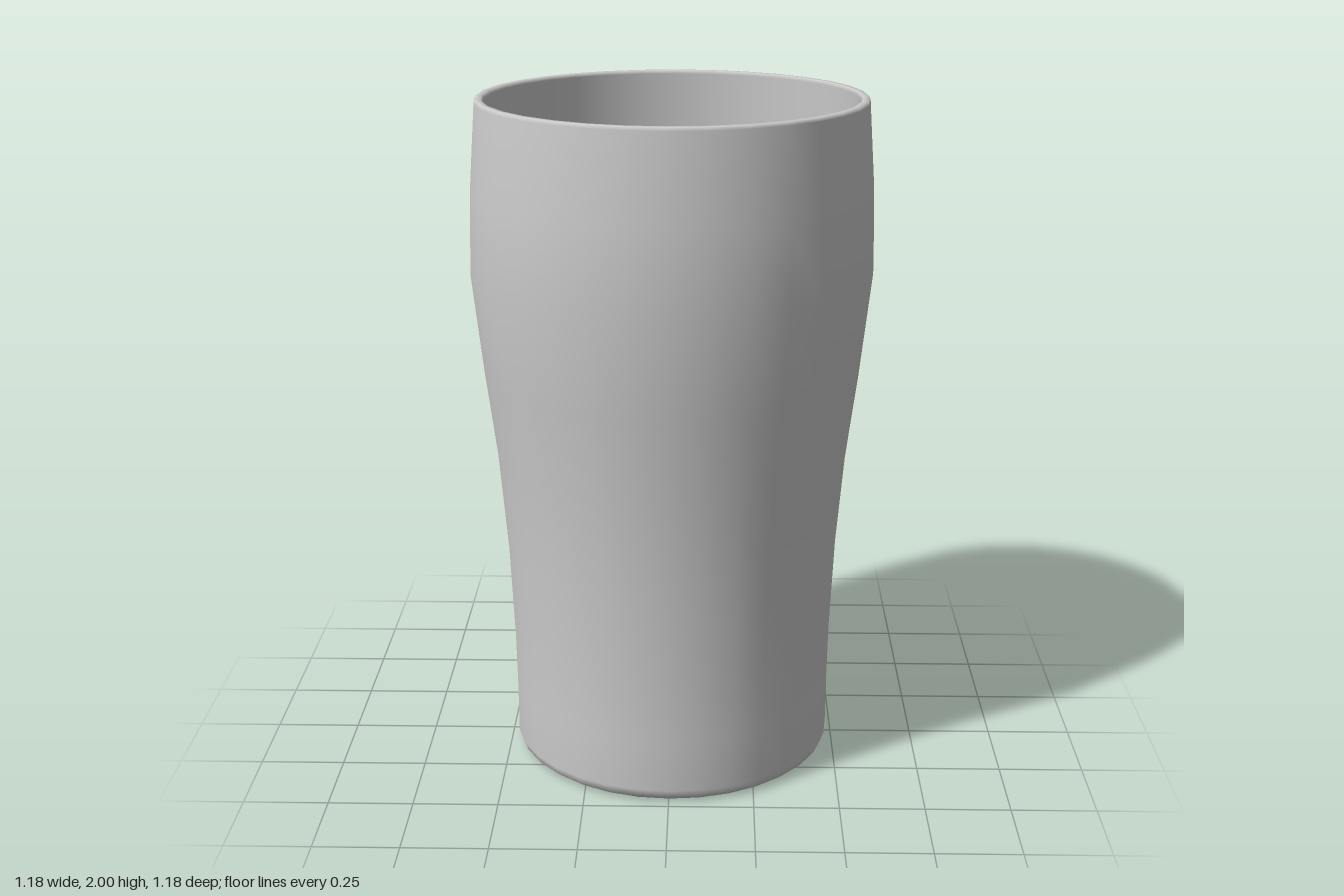
import * as THREE from 'three';

const SEGMENTS = 32;

// Turns a list of [radius, height] pairs into a smooth turned part
function turned(name, profile) {
  const points = profile.map(([r, y]) => new THREE.Vector2(r, y));
  const mesh = new THREE.Mesh(
    new THREE.LatheGeometry(points, SEGMENTS),
    new THREE.MeshStandardMaterial({ color: 0xcccccc })
  );
  mesh.name = name;
  return mesh;
}

export function createModel() {
  const group = new THREE.Group();
  group.name = 'pintGlass';

  // Glass: base, bulging outer wall, rim, then the inner wall down to a thick floor
  group.add(turned('glass', [
    [0, 0], [0.44, 0], [0.46, 0.004], [0.475, 0.016], [0.483, 0.04],
    [0.484, 0.2], [0.487, 0.36], [0.5, 0.65], [0.525, 0.95],
    [0.557, 1.2], [0.59, 1.5], [0.584, 1.74], [0.566, 1.99],
    [0.562, 2], [0.545, 2], [0.54, 1.99],
    [0.558, 1.74], [0.564, 1.5], [0.531, 1.2], [0.5, 0.95],
    [0.474, 0.65], [0.461, 0.36], [0.455, 0.12], [0.43, 0.09], [0, 0.09],
  ]));

  // Drink: fills the inside, with a softly rounded edge and slightly sunken top
  group.add(turned('drink', [
    [0, 0.1], [0.43, 0.1], [0.45, 0.13], [0.456, 0.36], [0.469, 0.65],
    [0.495, 0.95], [0.526, 1.2], [0.559, 1.5], [0.555, 1.72],
    [0.55, 1.755], [0.535, 1.777], [0.505, 1.785], [0.47, 1.782],
    [0.42, 1.775], [0.3, 1.772], [0, 1.772],
  ]));

  return group;
}
